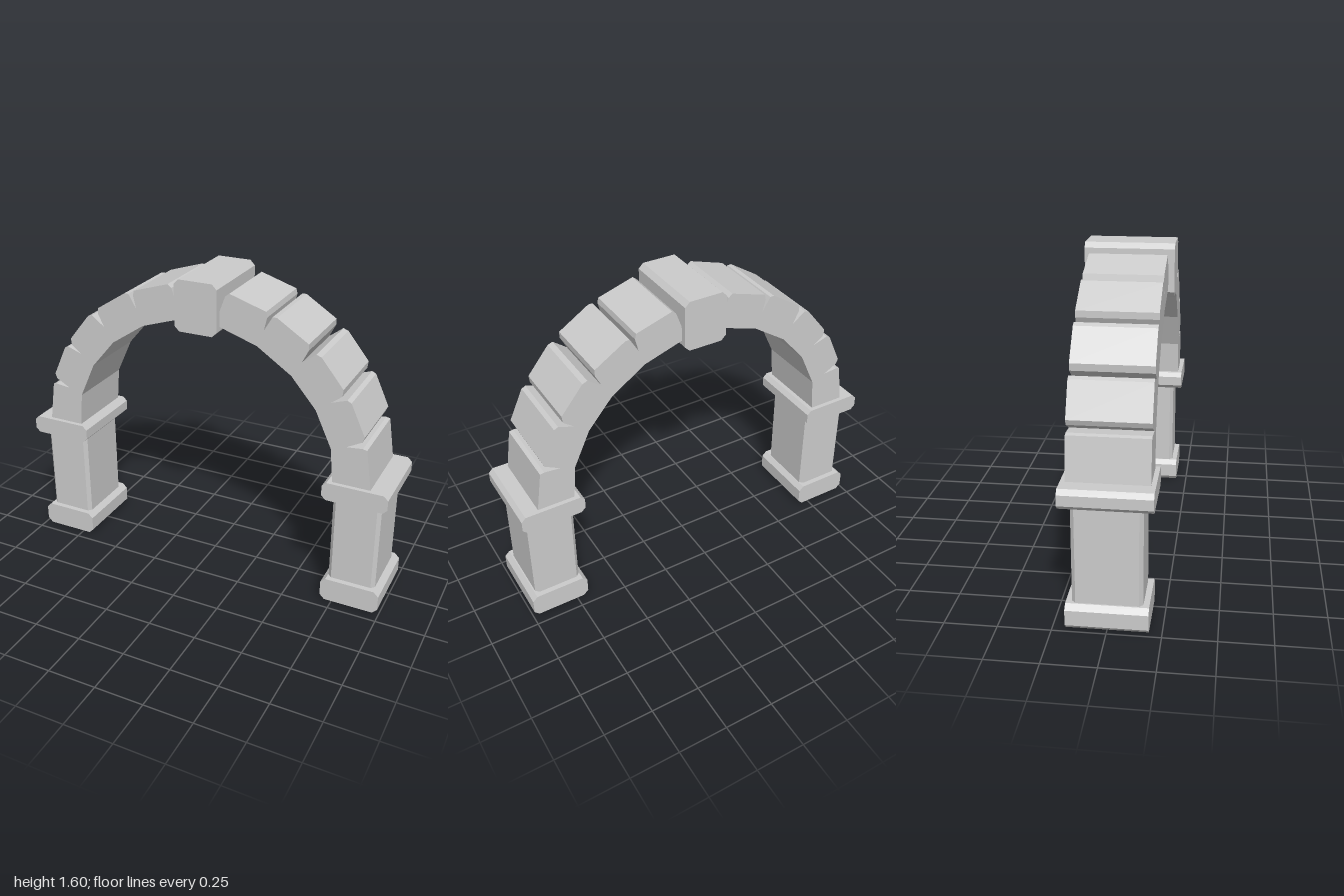
import * as THREE from 'three';

const material = new THREE.MeshStandardMaterial({ color: 0xcccccc, flatShading: true });

// Flat outline pushed out evenly to both sides of its plane
function slab(name, points, depth) {
  const shape = new THREE.Shape(points.map(([x, y]) => new THREE.Vector2(x, y)));
  const geometry = new THREE.ExtrudeGeometry(shape, { depth, bevelEnabled: false });
  geometry.translate(0, 0, -depth / 2);
  const mesh = new THREE.Mesh(geometry, material);
  mesh.name = name;
  return mesh;
}

// Rectangle outline with cut corners, centred on the origin
function cutRect(w, h, c) {
  const x = w / 2, y = h / 2;
  return [[-x + c, -y], [x - c, -y], [x, -y + c], [x, y - c],
    [x - c, y], [-x + c, y], [-x, y - c], [-x, -y + c]];
}

// Block with its four front-to-back edges chamfered
function block(name, w, h, depth, c, x, y) {
  const mesh = slab(name, cutRect(w, h, c), depth);
  mesh.position.set(x, y, 0);
  return mesh;
}

// Joints between arch stones: [inner end, bottom of the open notch]
const joints = [
  [[0.714, 0.69], [0.81, 0.69]],
  [[0.698, 0.87], [0.773, 0.898]],
  [[0.612, 1.056], [0.682, 1.108]],
  [[0.484, 1.206], [0.532, 1.281]],
  [[0.307, 1.324], [0.34, 1.407]],
  [[0.1, 1.392], [0.115, 1.47]],
];

// Outer edge of each stone, from springing to crown, with chamfered corners
const outerEdges = [
  [[0.906, 0.69], [0.874, 0.901], [0.853, 0.906]],
  [[0.848, 0.939], [0.858, 0.965], [0.783, 1.126], [0.762, 1.136]],
  [[0.737, 1.15], [0.741, 1.185], [0.628, 1.324], [0.602, 1.334]],
  [[0.564, 1.345], [0.564, 1.377], [0.404, 1.479], [0.382, 1.479]],
  [[0.356, 1.473], [0.35, 1.5], [0.163, 1.559], [0.142, 1.543]],
];

export function createModel() {
  const arch = new THREE.Group();
  arch.name = 'stoneArch';

  for (const [side, s] of [['left', 1], ['right', -1]]) {
    // Pillar: base, shaft with chamfered upright corners, capital
    const pillar = new THREE.Group();
    pillar.name = side + 'Pillar';
    pillar.add(block('base', 0.305, 0.125, 0.38, 0.025, s * 0.838, 0.0625));
    const shaft = slab('shaft', cutRect(0.245, 0.325, 0.018), 0.5);
    shaft.rotation.x = Math.PI / 2;
    shaft.position.set(s * 0.836, 0.36, 0);
    pillar.add(shaft);
    pillar.add(block('capital', 0.33, 0.095, 0.424, 0.022, s * 0.835, 0.6475));
    arch.add(pillar);

    // Arch stones, touching inside and parted by notches outside
    const stones = new THREE.Group();
    stones.name = side + 'ArchStones';
    outerEdges.forEach((edge, i) => {
      const [innerLow, notchLow] = joints[i];
      const [innerHigh, notchHigh] = joints[i + 1];
      const outline = [innerLow, notchLow, ...edge, notchHigh, innerHigh];
      stones.add(slab('archStone' + (i + 1), outline.map(([x, y]) => [s * x, y]), 0.38));
    });
    arch.add(stones);
  }

  // Keystone at the crown
  arch.add(block('keystone', 0.225, 0.26, 0.44, 0.025, 0, 1.472));
  return arch;
}
